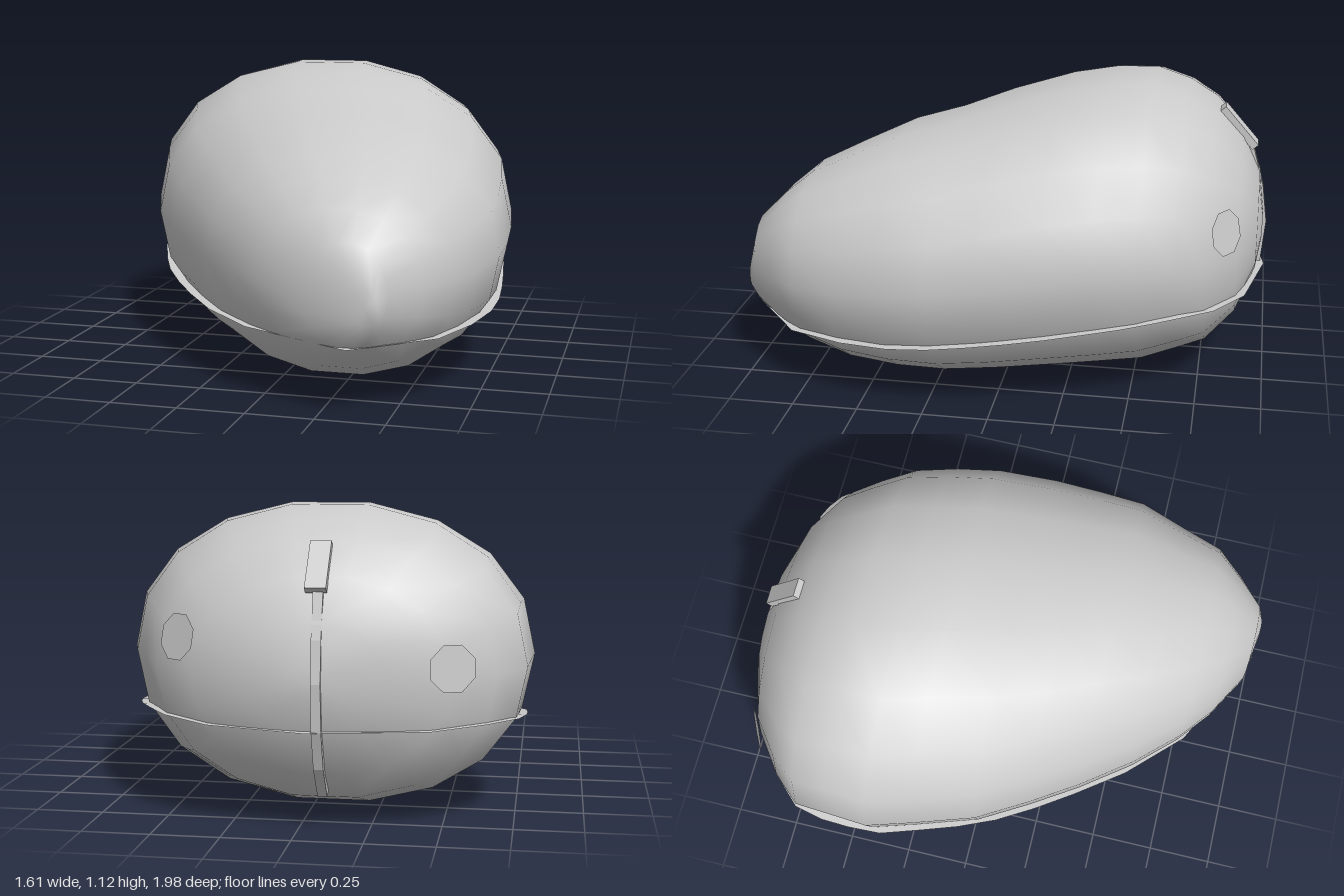
import * as THREE from 'three';

// Body cross-sections, back to front: z, xMin, xMax, yMin, yMax
const sections = [
  [-0.97, -0.10, 0.02, 0.50, 0.60],
  [-0.95, -0.32, 0.19, 0.38, 0.76],
  [-0.88, -0.54, 0.38, 0.21, 0.91],
  [-0.77, -0.69, 0.53, 0.10, 1.03],
  [-0.66, -0.79, 0.60, 0.06, 1.09],
  [-0.53, -0.80, 0.67, 0.025, 1.14],
  [-0.37, -0.81, 0.72, 0.015, 1.14],
  [-0.20, -0.755, 0.76, 0.01, 1.12],
  [0.03, -0.67, 0.79, 0.0, 1.06],
  [0.22, -0.55, 0.80, 0.0, 1.0],
  [0.40, -0.43, 0.795, 0.02, 0.96],
  [0.59, -0.28, 0.74, 0.05, 0.88],
  [0.75, -0.13, 0.69, 0.12, 0.81],
  [0.86, 0.01, 0.60, 0.18, 0.72],
  [0.96, 0.19, 0.50, 0.25, 0.62],
  [0.99, 0.38, 0.47, 0.34, 0.46],
];
const SIDES = 18;

function sectionAt(z) {
  let i = 0;
  while (i < sections.length - 2 && z > sections[i + 1][0]) i++;
  const a = sections[i], b = sections[i + 1];
  const t = (z - a[0]) / (b[0] - a[0]);
  const [, x0, x1, y0, y1] = a.map((v, k) => v + (b[k] - v) * t);
  return { cx: (x0 + x1) / 2, cy: (y0 + y1) / 2, rx: (x1 - x0) / 2, ry: (y1 - y0) / 2 };
}

const bulge = (v) => Math.sign(v) * Math.abs(v) ** 0.94;

function surfacePoint(z, angle) {
  const s = sectionAt(z);
  return new THREE.Vector3(s.cx + s.rx * bulge(Math.cos(angle)), s.cy + s.ry * bulge(Math.sin(angle)), z);
}

// Point on the left (+1) or right (-1) flank at a given height
function flankPoint(z, y, side) {
  const s = sectionAt(z);
  const v = THREE.MathUtils.clamp((y - s.cy) / s.ry, -1, 1);
  const up = Math.asin(Math.sign(v) * Math.abs(v) ** (1 / 0.94));
  return surfacePoint(z, side > 0 ? up : Math.PI - up);
}

function mesh(name, geometry, doubleSide = false) {
  const material = new THREE.MeshStandardMaterial({
    color: 0xcccccc, side: doubleSide ? THREE.DoubleSide : THREE.FrontSide,
  });
  const m = new THREE.Mesh(geometry, material);
  m.name = name;
  return m;
}

function indexed(positions, index) {
  const g = new THREE.BufferGeometry();
  g.setAttribute('position', new THREE.Float32BufferAttribute(positions, 3));
  g.setIndex(index);
  g.computeVertexNormals();
  return g;
}

// Lopsided egg, lofted through the sections and closed at both ends
function bodyGeometry() {
  const pos = [], idx = [];
  for (const [z] of sections)
    for (let j = 0; j < SIDES; j++) pos.push(...surfacePoint(z, (j / SIDES) * Math.PI * 2).toArray());
  const last = sections.length - 1;
  for (let i = 0; i < last; i++)
    for (let j = 0; j < SIDES; j++) {
      const k = (j + 1) % SIDES;
      const a = i * SIDES + j, b = i * SIDES + k;
      idx.push(a, b, b + SIDES, a, b + SIDES, a + SIDES);
    }
  for (const i of [0, last]) {
    const s = sectionAt(sections[i][0]);
    const c = pos.length / 3;
    pos.push(s.cx, s.cy, sections[i][0]);
    for (let j = 0; j < SIDES; j++) {
      const a = i * SIDES + j, b = i * SIDES + ((j + 1) % SIDES);
      if (i === 0) idx.push(c, b, a);
      else idx.push(c, a, b);
    }
  }
  return indexed(pos, idx);
}

// Thin rim around the body, rising from front to back
function rimGeometry() {
  const height = new THREE.CatmullRomCurve3([
    [-0.99, 0.375], [-0.7, 0.395], [-0.4, 0.365], [0, 0.31], [0.4, 0.27], [0.96, 0.255],
  ].map(([z, y]) => new THREE.Vector3(0, y, z)));
  const path = height.getPoints(14).filter((p) => p.z > -0.95 && p.z < 0.955);
  const loop = [
    ...path.map((p) => flankPoint(p.z, p.y, 1)),
    new THREE.Vector3(0.36, 0.255, 0.965),
    ...path.slice().reverse().map((p) => flankPoint(p.z, p.y, -1)),
    new THREE.Vector3(-0.04, 0.38, -0.955),
  ];
  const n = loop.length, pos = [], idx = [];
  loop.forEach((p, i) => {
    const t = loop[(i + 1) % n].clone().sub(loop[(i + n - 1) % n]).setY(0).normalize();
    for (const offset of [-0.03, 0.03]) pos.push(p.x + t.z * offset, p.y, p.z - t.x * offset);
    const a = 2 * i, b = 2 * ((i + 1) % n);
    idx.push(a, b, b + 1, a, b + 1, a + 1);
  });
  return indexed(pos, idx);
}

// Narrow upright ridge following the back
function ridgeGeometry() {
  const outer = [[0.98, -0.83], [0.86, -0.92], [0.7, -0.965], [0.55, -0.985],
    [0.38, -0.97], [0.24, -0.92], [0.12, -0.83]];
  const inner = outer.map(([y, z]) => [y * 0.9 + 0.055, z + 0.08]).reverse();
  const shape = new THREE.Shape([...outer, ...inner].map(([y, z]) => new THREE.Vector2(-z, y)));
  return new THREE.ExtrudeGeometry(shape, { depth: 0.035, bevelEnabled: false });
}

// Flat octagonal spot lying on the surface
function spot(name, z, y, side) {
  const p = flankPoint(z, y, side);
  const along = flankPoint(z + 0.06, y, side).sub(flankPoint(z - 0.05, y, side));
  const up = flankPoint(z, y + 0.08, side).sub(flankPoint(z, y - 0.08, side));
  const normal = up.cross(along).normalize().multiplyScalar(side);
  const m = mesh(name, new THREE.CircleGeometry(0.088, 8, Math.PI / 8), true);
  m.position.copy(p).addScaledVector(normal, 0.008);
  m.lookAt(p.clone().add(normal));
  return m;
}

export function createModel() {
  const model = new THREE.Group();
  model.name = 'eggBody';
  model.add(mesh('body', bodyGeometry()));
  model.add(mesh('rim', rimGeometry(), true));

  const ridge = mesh('backRidge', ridgeGeometry());
  ridge.rotation.y = Math.PI / 2;
  ridge.position.x = -0.1;
  model.add(ridge);

  // Small tab at the top of the ridge
  const tab = mesh('ridgeTab', new THREE.BoxGeometry(0.075, 0.03, 0.2));
  tab.position.set(-0.075, 0.94, -0.86);
  tab.rotation.x = -0.85;
  model.add(tab);

  model.add(spot('leftSpot', -0.83, 0.68, 1));
  model.add(spot('rightSpot', -0.88, 0.6, -1));
  return model;
}
